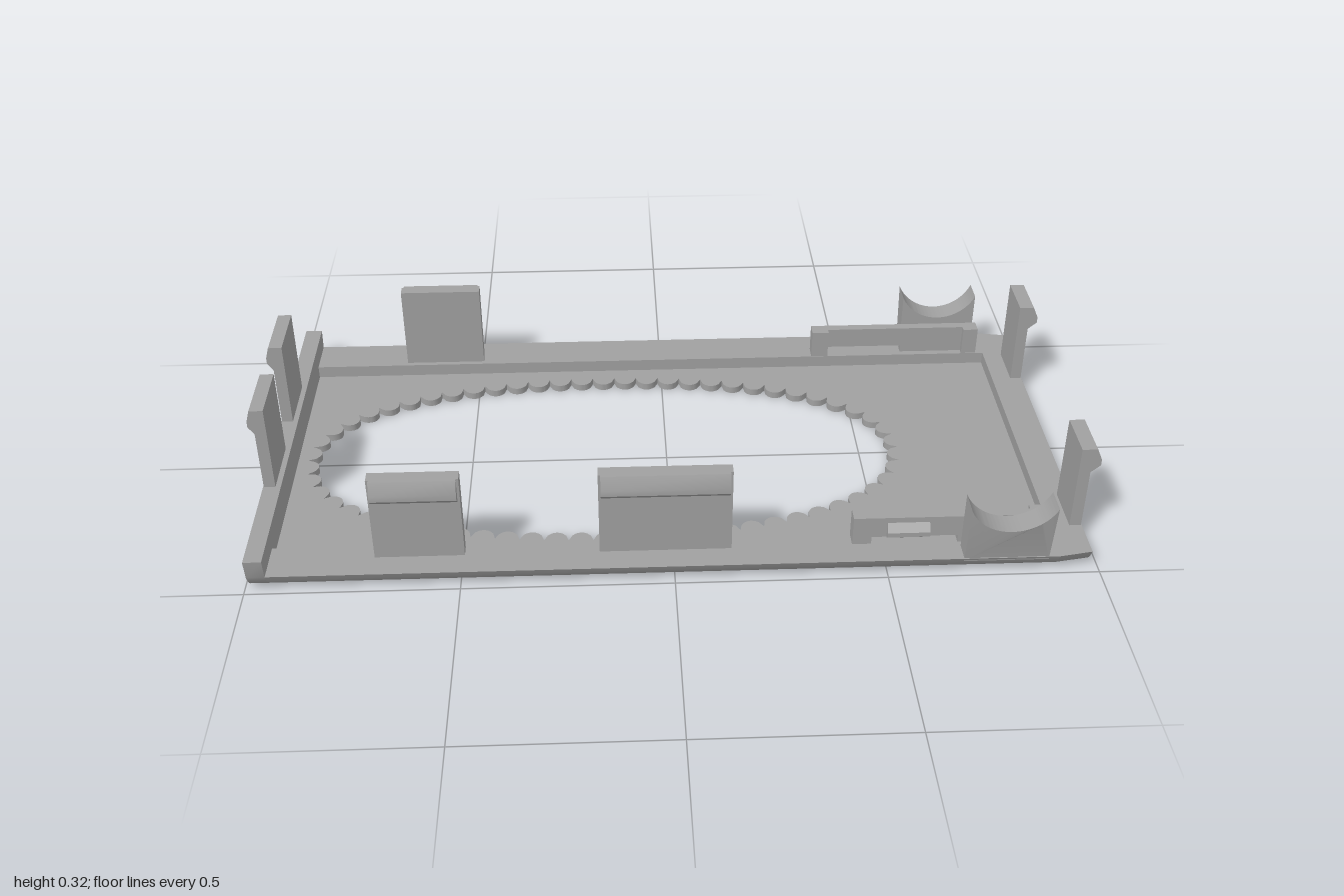
import * as THREE from 'three';
import { toCreasedNormals } from 'three/addons/utils/BufferGeometryUtils.js';

const RIM = 0.05, FLOOR = 0.018;

const shapeOf = (pts) => new THREE.Shape(pts.map(([a, b]) => new THREE.Vector2(a, b)));

// Extrude an (x, y) outline along z
function alongZ(shape, z0, z1) {
  const g = new THREE.ExtrudeGeometry(shape, { depth: z1 - z0, bevelEnabled: false, curveSegments: 24 });
  return g.translate(0, 0, z0);
}

// Extrude a (z, y) outline along x
function alongX(shape, x0, x1) {
  const g = new THREE.ExtrudeGeometry(shape, { depth: x1 - x0, bevelEnabled: false });
  return g.rotateY(-Math.PI / 2).translate(x1, 0, 0);
}

// Rounded outer side of the shell, bottom to top, as (z, y)
const SIDE = [[0.45, 0], [0.462, 0.004], [0.473, 0.011], [0.483, 0.021], [0.491, 0.033], [0.5, RIM]];

// Snap tab outline: base position u, outward direction s, thickness t
function tabOutline(u, s, t, y0, top, hook) {
  return shapeOf([
    [u - s * t, y0], [u, y0], [u, top - 0.065], [u + s * hook, top - 0.046],
    [u + s * hook, top - 0.03], [u + s * hook * 0.4, top], [u - s * t, top],
  ]);
}

// Scalloped oval opening
function scallopedHole() {
  const oval = [];
  for (let i = 0; i < 240; i++) {
    const a = (i / 240) * Math.PI * 2, c = Math.cos(a), s = Math.sin(a), e = 2 / 2.25;
    oval.push(new THREE.Vector3(
      -0.16 + 0.76 * Math.sign(c) * Math.abs(c) ** e,
      0.355 * Math.sign(s) * Math.abs(s) ** e, 0));
  }
  const curve = new THREE.CatmullRomCurve3(oval, true);
  curve.arcLengthDivisions = 1000;
  const bumps = 62, per = 8, n = bumps * per, pts = [];
  for (let i = 0; i < n; i++) {
    const p = curve.getPointAt(i / n), t = curve.getTangentAt(i / n);
    const d = 0.03 * Math.sqrt(Math.sin(((i % per) / per) * Math.PI));
    pts.push(new THREE.Vector2(p.x - t.y * d, p.y + t.x * d));
  }
  return new THREE.Path(pts);
}

export function createModel() {
  const model = new THREE.Group();
  const grey = new THREE.MeshStandardMaterial({ color: 0xa0a0a0 });
  grey.name = 'grey plastic';

  const add = (name, geometry, crease = 0.5) => {
    const mesh = new THREE.Mesh(toCreasedNormals(geometry, crease), grey);
    mesh.name = name;
    model.add(mesh);
    return mesh;
  };
  const box = (name, x0, x1, y0, y1, z0, z1) => add(name,
    new THREE.BoxGeometry(x1 - x0, y1 - y0, Math.abs(z1 - z0))
      .translate((x0 + x1) / 2, (y0 + y1) / 2, (z0 + z1) / 2));

  // Thin floor with the scalloped opening
  const floor = shapeOf([[-0.945, -0.395], [0.9, -0.395], [0.9, 0.395], [-0.945, 0.395]]);
  floor.holes.push(scallopedHole());
  add('floor', new THREE.ExtrudeGeometry(floor, { depth: FLOOR, bevelEnabled: false })
    .rotateX(Math.PI / 2).translate(0, FLOOR, 0));

  // End rim, slightly narrowed toward its outer edge
  const mirrored = (pts) => [...pts, ...pts.map(([z, y]) => [-z, y]).reverse()];
  const endRim = alongX(shapeOf(mirrored(SIDE)), 0.9, 0.98);
  const p = endRim.attributes.position;
  for (let i = 0; i < p.count; i++) if (p.getX(i) > 0.95) p.setZ(i, p.getZ(i) * 0.972);
  endRim.computeVertexNormals();
  add('endRim', endRim);

  // Taller wall at the other end
  add('endWall', alongX(shapeOf(mirrored([...SIDE, [0.507, 0.1]])), -0.988, -0.945));

  for (const s of [1, -1]) {
    const side = s > 0 ? 'front' : 'back';

    // Side rim
    const rim = [[0.395, 0], ...SIDE, [0.395, RIM]].map(([z, y]) => [z * s, y]);
    add(side + 'Rim', alongX(shapeOf(rim), -0.945, 0.9));

    // Snap tabs on the long side
    const spans = s > 0 ? [[-0.7, -0.49], [-0.175, 0.135]] : [[-0.7, -0.49]];
    for (const [x0, x1] of spans) {
      add(side + 'Tab', alongX(tabOutline(0.438 * s, s, 0.03, 0.03, 0.272, 0), x0, x1));
      const hook = [[0.437, 0.205], [0.458, 0.225], [0.458, 0.24], [0.445, 0.272], [0.437, 0.272]];
      add(side + 'TabHook', alongX(shapeOf(hook.map(([z, y]) => [z * s, y])), x0 + 0.006, x1 - 0.006));
    }

    // Snap tabs on both ends
    const span = (a, b) => (s > 0 ? [a, b] : [-b, -a]);
    add('shortEndTab', alongZ(tabOutline(0.978, 1, 0.028, 0.03, 0.272, 0.022), ...span(0.262, 0.385)));
    add('tallEndTab', alongZ(tabOutline(-0.986, -1, 0.028, 0.03, 0.322, 0.014), ...span(0.06, 0.22)));

    // Slotted bracket: two posts, a thin bar and a small catch
    box(side + 'BracketPost', 0.42, 0.465, 0.03, 0.125, 0.397 * s, 0.435 * s);
    box(side + 'BracketPost', 0.84, 0.88, 0.03, 0.125, 0.397 * s, 0.435 * s);
    box(side + 'BracketBar', 0.465, 0.84, 0.07, 0.125, 0.412 * s, 0.435 * s);
    box(side + 'BracketFoot', 0.67, 0.84, 0.03, 0.07, 0.412 * s, 0.435 * s);
    const catchPts = [[0.434, 0.066], [0.451, 0.08], [0.451, 0.092], [0.434, 0.112]];
    add(side + 'BracketCatch', alongX(shapeOf(catchPts.map(([z, y]) => [z * s, y])), 0.5, 0.6));

    // Saddle with a concave top and a leaning outer face
    const r = 0.109, cy = 0.135 + r, a = Math.asin(0.1 / r);
    const saddle = new THREE.Shape();
    saddle.moveTo(0.675, 0.04);
    saddle.lineTo(0.875, 0.04);
    saddle.absarc(0.775, cy, r, -Math.PI / 2 + a, -Math.PI / 2 - a, true);
    const g = alongZ(saddle, ...span(0.45, 0.5));
    const q = g.attributes.position;
    for (let i = 0; i < q.count; i++) {
      if (Math.abs(q.getZ(i)) > 0.48) {
        const t = (q.getY(i) - 0.04) / 0.16;
        q.setZ(i, s * (0.496 + 0.019 * Math.sqrt(Math.max(t, 0))));
      }
    }
    g.computeVertexNormals();
    add(side + 'Saddle', g);
  }
  return model;
}
